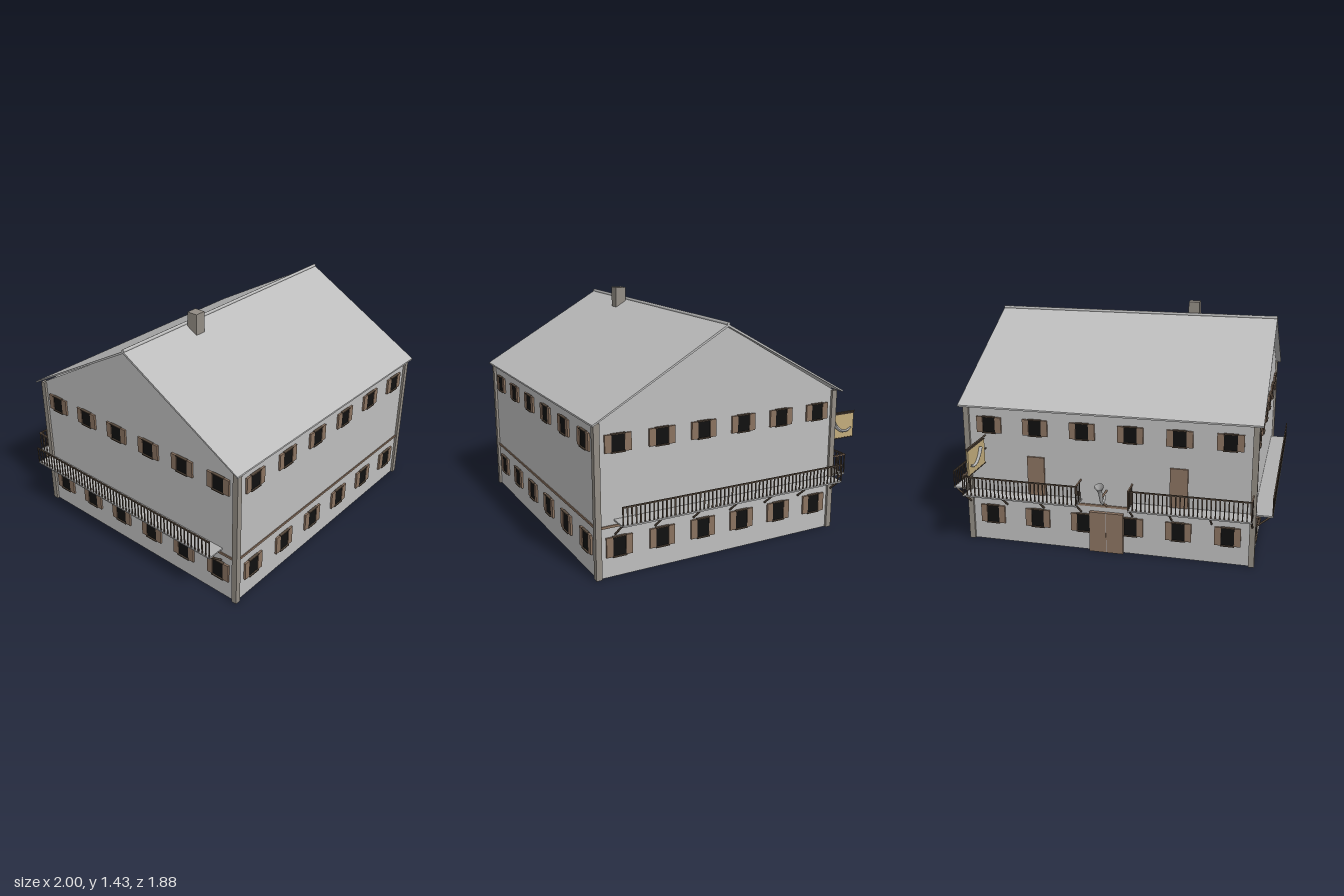
import * as THREE from 'three';

const mat = (name, color, side = THREE.FrontSide) => {
  const m = new THREE.MeshStandardMaterial({ color, side });
  m.name = name;
  return m;
};

export function createModel() {
  const M = {
    wall: mat('plaster', 0xbebebe, THREE.DoubleSide),
    roof: mat('roof grey', 0xbcbcbc),
    stone: mat('stone', 0x928c84),
    wood: mat('wood', 0x8a7260),
    dark: mat('dark wood', 0x55483c),
    pane: mat('window black', 0x101010),
    sign: mat('sign tan', 0xc2ac7c),
    metal: mat('metal', 0xb0b0b0),
  };
  const model = new THREE.Group();
  model.name = 'house';

  const add = (parent, name, geo, m, x = 0, y = 0, z = 0) => {
    const mesh = new THREE.Mesh(geo, m);
    mesh.name = name;
    mesh.position.set(x, y, z);
    parent.add(mesh);
    return mesh;
  };
  const box = (parent, name, m, w, h, d, x, y, z) =>
    add(parent, name, new THREE.BoxGeometry(w, h, d), m, x, y, z);
  const bar = (parent, name, m, a, b, r) => {
    const p = new THREE.Vector3(...a), q = new THREE.Vector3(...b), d = q.clone().sub(p);
    const mesh = add(parent, name, new THREE.CylinderGeometry(r, r, d.length(), 8), m);
    mesh.position.copy(p).add(q).multiplyScalar(0.5);
    mesh.quaternion.setFromUnitVectors(new THREE.Vector3(0, 1, 0), d.normalize());
    return mesh;
  };

  // House proportions
  const X = 0.885, ZF = 0.91, ZB = -0.665, ZM = 0.122, EAVE = 0.885, RIDGE = 1.345;

  // One wall frame per side: local +z points outwards
  const facade = (name, x, z, turn) => {
    const g = new THREE.Group();
    g.name = name;
    g.position.set(x, 0, z);
    g.rotation.y = turn;
    model.add(g);
    return g;
  };
  const front = facade('frontSide', 0, ZF, 0);
  const back = facade('backSide', 0, ZB, Math.PI);
  const left = facade('leftSide', X, ZM, Math.PI / 2);
  const right = facade('rightSide', -X, ZM, -Math.PI / 2);

  // Walls, open at the bottom
  for (const f of [front, back])
    add(f, 'wall', new THREE.PlaneGeometry(2 * X, EAVE), M.wall, 0, EAVE / 2, 0);
  const h = (ZF - ZB) / 2;
  for (const f of [left, right]) {
    const gable = new THREE.Shape();
    gable.moveTo(-h, 0).lineTo(h, 0).lineTo(h, EAVE).lineTo(0, RIDGE - 0.005).lineTo(-h, EAVE);
    add(f, 'gableWall', new THREE.ShapeGeometry(gable), M.wall);
  }

  // Corner posts
  for (const x of [-0.8825, 0.8825])
    for (const z of [-0.6625, 0.9075])
      box(model, 'cornerPost', M.stone, 0.035, 0.885, 0.035, x, 0.4425, z);

  // Raised floor whose edge shows as a belt around the walls
  box(model, 'floorSlab', M.wood, 2 * X + 0.012, 0.014, ZF - ZB + 0.012, 0, 0.297, (ZF + ZB) / 2);

  // Roof as one thin bent sheet, with ridge and chimney
  const section = new THREE.Shape();
  section.moveTo(-0.94, 0.877).lineTo(-ZM, RIDGE - 0.008).lineTo(0.705, 0.877)
    .lineTo(0.705, 0.887).lineTo(-ZM, RIDGE + 0.006).lineTo(-0.94, 0.887);
  const roof = add(model, 'roof',
    new THREE.ExtrudeGeometry(section, { depth: 1.845, bevelEnabled: false }), M.roof, -0.9225, 0, 0);
  roof.rotation.y = Math.PI / 2;
  bar(model, 'ridge', M.roof, [-0.9225, 1.352, ZM], [0.9225, 1.352, ZM], 0.01);
  box(model, 'chimney', M.stone, 0.07, 0.16, 0.07, -0.382, 1.35, 0.177);

  // Windows with shutters, six in each of two rows per side
  const windowAt = (f, x, y, tall) => {
    const g = new THREE.Group();
    g.name = 'window';
    g.position.set(x, y, 0);
    f.add(g);
    box(g, 'pane', M.pane, 0.078, tall, 0.009, 0, 0, 0.004);
    for (const s of [-1, 1]) {
      box(g, 'shutter', M.wood, 0.039, tall, 0.012, s * 0.059, 0, 0.006);
      box(g, 'frameBar', M.dark, 0.084, 0.007, 0.018, 0, s * tall / 2, 0.008);
    }
  };
  for (const [f, step] of [[front, 0.295], [back, 0.295], [left, 0.264], [right, 0.264]])
    for (let i = 0; i < 6; i++) {
      windowAt(f, (i - 2.5) * step, 0.765, 0.1);
      windowAt(f, (i - 2.5) * step, 0.178, 0.115);
    }

  // Balconies: platform, railing and diagonal struts
  const balcony = (f, cx, length, depth, bays, railY, ends) => {
    const g = new THREE.Group();
    g.name = 'balcony';
    g.position.x = cx;
    f.add(g);
    const L = length / 2, floorY = 0.33, mid = (railY + floorY) / 2, tall = railY - floorY;
    box(g, 'platform', M.metal, length, 0.009, depth, 0, floorY, depth / 2);
    box(g, 'topRail', M.dark, length, 0.008, 0.008, 0, railY, depth - 0.004);
    const n = Math.round(length / 0.0265);
    for (let i = 0; i <= n; i++)
      box(g, 'baluster', M.dark, 0.007, tall, 0.005, -L + 0.004 + (length - 0.008) * i / n, mid, depth - 0.004);
    for (let i = 0; i <= bays; i++) {
      const x = -L + 0.005 + (length - 0.01) * i / bays;
      bar(g, 'strut', M.dark, [x, 0.25, 0.004], [x, floorY - 0.004, depth * 0.82], 0.006);
    }
    if (ends)
      for (const s of [-1, 1]) {
        box(g, 'endRail', M.wood, 0.008, 0.008, depth, s * (L - 0.004), railY, depth / 2);
        for (let i = 1; i < 4; i++)
          box(g, 'endBaluster', M.dark, 0.005, tall, 0.006, s * (L - 0.004), mid, depth * i / 4);
      }
  };
  balcony(left, 0.052, 1.48, 0.113, 6, 0.438, false);
  balcony(right, -0.052, 1.48, 0.113, 6, 0.438, false);
  for (const s of [-1, 1]) {
    balcony(back, s * 0.521, 0.73, 0.12, 3, 0.455, true);
    box(back, 'balconyDoor', M.wood, 0.108, 0.25, 0.012, s * 0.4425, 0.455, 0.007);
    box(back, 'entranceDoor', M.wood, 0.104, 0.26, 0.024, s * 0.0535, 0.13, 0.012);
  }
  box(back, 'doorSeam', M.metal, 0.005, 0.26, 0.022, 0, 0.13, 0.012);

  // Curved horn: a tube whose radius follows a rule
  const horn = (name, points, radius) => {
    const curve = new THREE.CatmullRomCurve3(points.map(p => new THREE.Vector3(...p)));
    const geo = new THREE.TubeGeometry(curve, 24, 1, 10);
    const pos = geo.attributes.position, uv = geo.attributes.uv, v = new THREE.Vector3();
    for (let i = 0; i < pos.count; i++) {
      const t = uv.getX(i), c = curve.getPointAt(t);
      v.fromBufferAttribute(pos, i).sub(c).multiplyScalar(radius(t)).add(c);
      pos.setXYZ(i, v.x, v.y, v.z);
    }
    geo.computeVertexNormals();
    const m = M.metal.side === THREE.DoubleSide ? M.metal : (M.metal.side = THREE.DoubleSide, M.metal);
    add(model, name, geo, m);
  };

  // Horn ornament above the entrance, on a bracket
  horn('doorHorn', [[0, 0.385, -0.705], [0, 0.353, -0.735], [0, 0.37, -0.775], [0, 0.43, -0.802], [0, 0.49, -0.832]],
    t => 0.006 + 0.009 * t + 0.014 * Math.max(0, t - 0.85) / 0.15);
  bar(model, 'hornBracket', M.wood, [0, 0.3, ZB], [0, 0.36, -0.76], 0.007);
  bar(model, 'hornBracket', M.wood, [0, 0.4, ZB], [0, 0.4, -0.79], 0.006);

  // Hanging sign with a horn on each face
  const SX = 0.768;
  box(model, 'signBoard', M.sign, 0.01, 0.158, 0.238, SX, 0.605, -0.815);
  bar(model, 'signBar', M.dark, [SX, 0.693, ZB], [SX, 0.693, -0.942], 0.005);
  bar(model, 'signBar', M.dark, [SX, 0.61, ZB], [SX, 0.61, -0.7], 0.004);
  for (const y of [0.683, 0.526])
    box(model, 'signEdge', M.dark, 0.014, 0.006, 0.242, SX, y, -0.815);
  for (const s of [-1, 1]) {
    const x = SX + s * 0.009;
    horn('signHorn', [[x, 0.652, -0.763], [x, 0.61, -0.79], [x, 0.575, -0.835], [x, 0.572, -0.88], [x, 0.588, -0.912]],
      t => 0.013 - 0.007 * t);
  }
  return model;
}
